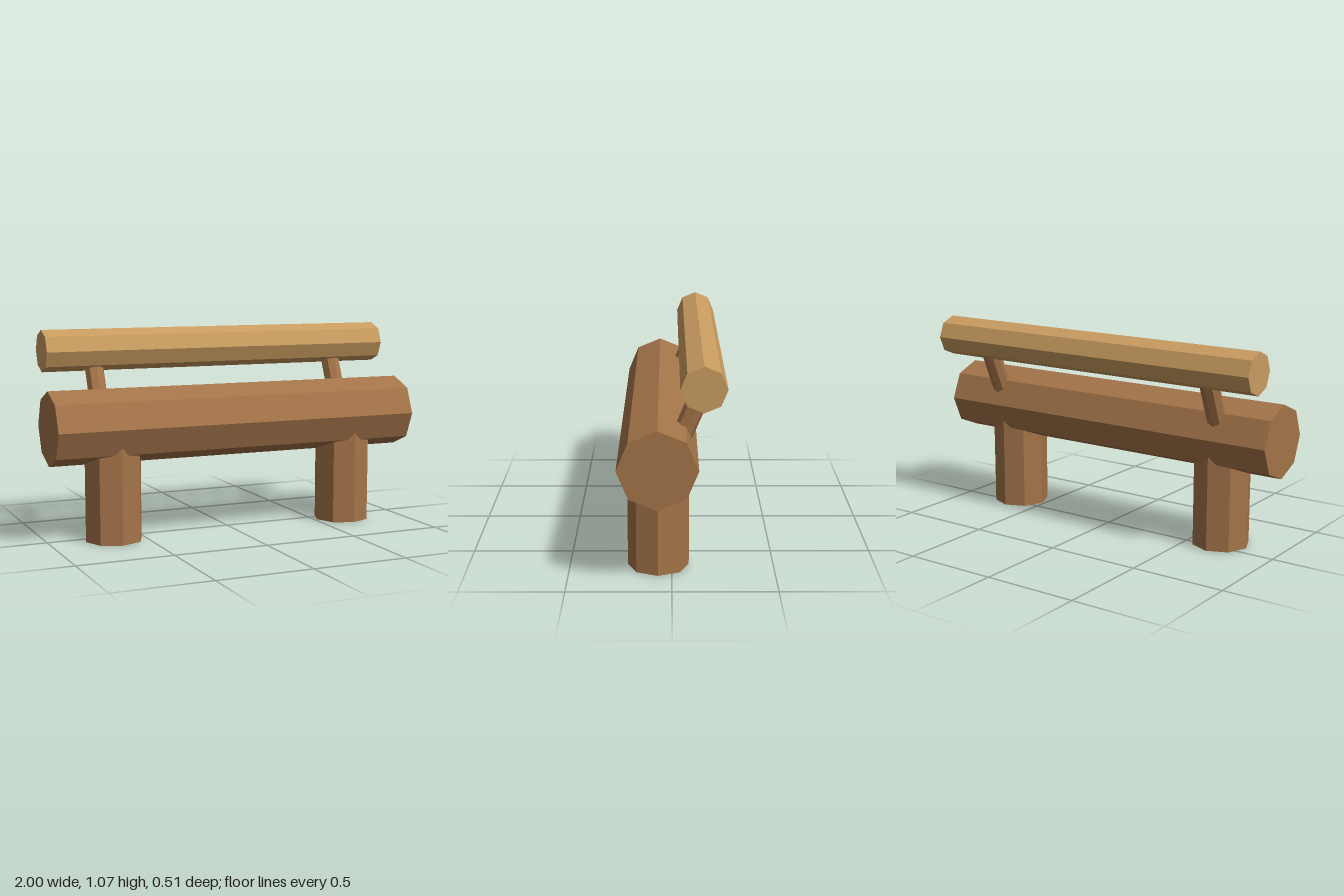
import * as THREE from 'three';

const bark = new THREE.MeshStandardMaterial({ color: 0xa47449, flatShading: true });
const paleWood = new THREE.MeshStandardMaterial({ color: 0xc99c60, flatShading: true });

// Eight-sided log, centred on its own middle
function log(name, radius, length, material) {
  const mesh = new THREE.Mesh(new THREE.CylinderGeometry(radius, radius, length, 8), material);
  mesh.name = name;
  return mesh;
}

export function createModel() {
  const bench = new THREE.Group();
  bench.name = 'logBench';

  // Seat and backrest logs lie along x
  const seat = log('seatLog', 0.19, 2, bark);
  seat.rotation.z = Math.PI / 2;
  seat.position.set(0, 0.591, 0.066);

  const back = log('backrestLog', 0.108, 1.94, paleWood);
  back.rotation.z = Math.PI / 2;
  back.position.set(0, 0.964, -0.145);
  bench.add(seat, back);

  for (const [side, label] of [[1, 'left'], [-1, 'right']]) {
    // Stump leg, its top sunk into the seat
    const leg = log(label + 'Leg', 0.15, 0.58, bark);
    leg.position.set(side * 0.665, 0.29, 0.066);

    // Post leaning back from the seat to the backrest
    const post = log(label + 'BackPost', 0.05, 0.36, bark);
    post.rotation.x = -0.4;
    post.position.set(side * 0.695, 0.77, -0.0905);
    bench.add(leg, post);
  }
  return bench;
}
